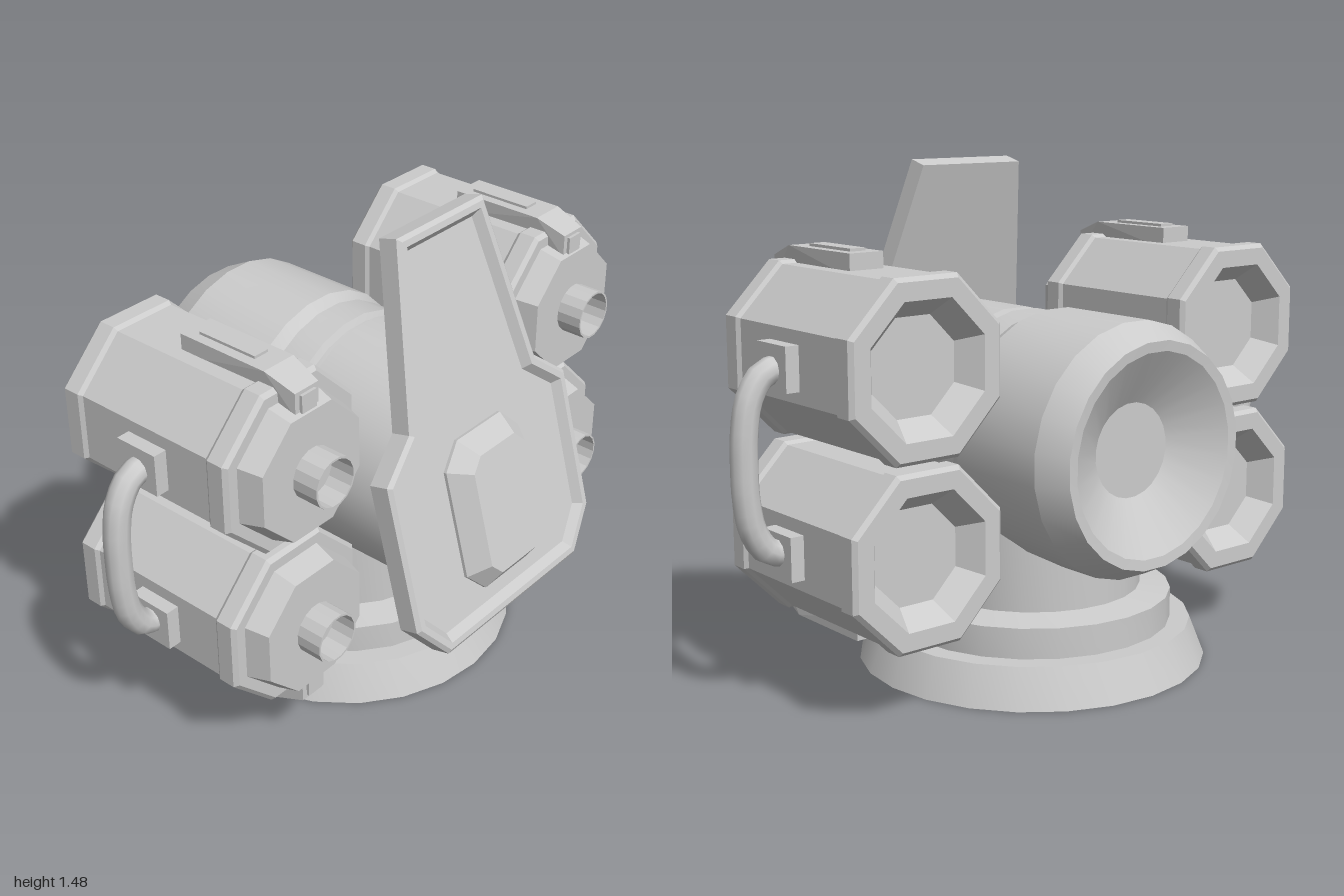
import * as THREE from 'three';
import { toCreasedNormals } from 'three/addons/utils/BufferGeometryUtils.js';

const grey = new THREE.MeshStandardMaterial({ color: 0xcccccc });
const shell = new THREE.MeshStandardMaterial({ color: 0xcccccc, side: THREE.DoubleSide });

function add(parent, name, geo, x = 0, y = 0, z = 0, mat = grey) {
  const mesh = new THREE.Mesh(geo, mat);
  mesh.name = name;
  mesh.position.set(x, y, z);
  parent.add(mesh);
  return mesh;
}

// Skins a list of counter-clockwise rings and closes both ends
function loft(rings) {
  const pos = [];
  const tri = (...pts) => pts.forEach((p) => pos.push(p.x, p.y, p.z));
  const n = rings[0].length;
  for (let i = 0; i < rings.length - 1; i++) {
    for (let j = 0; j < n; j++) {
      const k = (j + 1) % n;
      const a = rings[i][j], b = rings[i][k], c = rings[i + 1][k], d = rings[i + 1][j];
      tri(a, b, c);
      tri(a, c, d);
    }
  }
  const cap = (ring, flip) => {
    const flat = ring.map((p) => new THREE.Vector2(p.x, p.y));
    for (const [a, b, c] of THREE.ShapeUtils.triangulateShape(flat, [])) {
      if (flip) tri(ring[a], ring[c], ring[b]);
      else tri(ring[a], ring[b], ring[c]);
    }
  };
  cap(rings[0], true);
  cap(rings[rings.length - 1], false);
  const geo = new THREE.BufferGeometry();
  geo.setAttribute('position', new THREE.Float32BufferAttribute(pos, 3));
  return toCreasedNormals(geo, 0.35);
}

// Regular polygon ring; r is measured to the middle of a side
function ring(sides, r, z) {
  return Array.from({ length: sides }, (_, i) => {
    const a = ((i + 0.5) / sides) * Math.PI * 2;
    const R = r / Math.cos(Math.PI / sides);
    return new THREE.Vector3(R * Math.cos(a), R * Math.sin(a), z);
  });
}
const turned = (sides, profile) => loft(profile.map(([r, z]) => ring(sides, r, z)));

// Outline moved inward by d with mitred corners, placed at depth z
function inset(outline, d, z) {
  const n = outline.length;
  return outline.map((p, i) => {
    const a = outline[(i + n - 1) % n], b = outline[(i + 1) % n];
    const e1 = p.clone().sub(a).normalize(), e2 = b.clone().sub(p).normalize();
    const k = d / (1 + e1.dot(e2));
    return new THREE.Vector3(p.x - (e1.y + e2.y) * k, p.y + (e1.x + e2.x) * k, z);
  });
}

// Closed symmetric outline from its right half, bottom to top
function mirrored(half) {
  const right = half.map(([x, y]) => new THREE.Vector2(x, y));
  const left = right.map((p) => new THREE.Vector2(-p.x, p.y)).reverse();
  return [...right, ...left];
}

function createPod() {
  const pod = new THREE.Group();
  // Octagonal casing: recessed rear, two collars, tapered front cap
  add(pod, 'podCasing', turned(8, [
    [0.135, -0.285], [0.185, -0.355], [0.235, -0.355], [0.247, -0.343], [0.247, -0.292],
    [0.238, -0.28], [0.238, 0.185], [0.247, 0.197], [0.247, 0.248], [0.235, 0.26],
    [0.205, 0.26], [0.185, 0.33],
  ]));
  // Hollow muzzle
  add(pod, 'muzzle', turned(16, [[0.074, 0.32], [0.074, 0.41], [0.068, 0.41], [0.068, 0.335]]));
  // Latch bent over the front edge
  const side = new THREE.Shape([
    [-0.08, 0.22], [0.22, 0.18], [0.315, 0.18], [0.315, 0.25], [0.22, 0.285], [-0.08, 0.285],
  ].map(([z, y]) => new THREE.Vector2(z, y)));
  const latch = new THREE.ExtrudeGeometry(side, { depth: 0.11, bevelEnabled: false });
  latch.rotateY(-Math.PI / 2).translate(0.055, 0, 0);
  // Narrow the latch toward its front
  const p = latch.attributes.position;
  for (let i = 0; i < p.count; i++) if (p.getZ(i) > 0.3) p.setX(i, p.getX(i) * 0.8);
  latch.computeVertexNormals();
  add(pod, 'latch', latch);
  add(pod, 'latchRidge', new THREE.BoxGeometry(0.05, 0.016, 0.2), 0, 0.285, 0.06);
  add(pod, 'latchTab', new THREE.BoxGeometry(0.055, 0.055, 0.02), 0, 0.212, 0.314);
  return pod;
}

function createShield() {
  const shield = new THREE.Group();
  shield.name = 'shield';
  const outline = mirrored([[0.31, 0], [0.415, 0.125], [0.41, 0.57], [0.287, 0.67], [0.185, 1.19]]);
  // Slab with a raised rim around a sunken panel
  add(shield, 'shieldPlate', loft([
    inset(outline, 0, -0.07), inset(outline, 0, -0.01), inset(outline, 0.012, 0),
    inset(outline, 0.03, 0), inset(outline, 0.05, -0.025),
  ]));
  // Bevelled boss
  const boss = mirrored([[0.1, 0.1], [0.168, 0.17], [0.168, 0.5], [0.1, 0.57]]);
  add(shield, 'shieldBoss', loft([
    inset(boss, 0, -0.03), inset(boss, 0, -0.015), inset(boss, 0.05, 0.042),
  ]));
  shield.position.set(-0.015, 0.33, 0.6);
  shield.rotation.x = -0.264;
  return shield;
}

export function createModel() {
  const model = new THREE.Group();
  model.name = 'turret';

  // Stepped hollow base and neck
  const steps = [[0.525, 0], [0.48, 0.115], [0.42, 0.115], [0.42, 0.205], [0.328, 0.222], [0.328, 0.58]];
  const base = new THREE.LatheGeometry(steps.map(([r, y]) => new THREE.Vector2(r, y)), 24);
  add(model, 'base', toCreasedNormals(base, 0.35), 0, 0, -0.075, shell);

  // Barrel-shaped body with a dished rear and a slanted front end
  const bodyRings = [
    [0.135, -0.5], [0.29, -0.597], [0.32, -0.6], [0.365, -0.51], [0.365, -0.18], [0.348, -0.14],
    [0.348, -0.04], [0.328, -0.03], [0.328, -0.01], [0.348, 0], [0.348, 0.3],
  ].map(([r, z]) => ring(24, r, z));
  bodyRings[bodyRings.length - 1].forEach((v) => { v.z = 0.437 - 0.27 * v.y; });
  add(model, 'body', loft(bodyRings), 0, 0.695, 0);

  model.add(createShield());

  for (const s of [1, -1]) {
    const label = s > 0 ? 'left' : 'right';
    // Upper pod, and a lower one turned upside down
    for (const [y, turn, level] of [[0.97, 0, 'Upper'], [0.455, Math.PI, 'Lower']]) {
      const pod = createPod();
      pod.name = `${label}${level}Pod`;
      pod.position.set(s * 0.592, y, 0);
      pod.rotation.z = turn;
      model.add(pod);
      add(model, `${label}${level}HandlePad`, new THREE.BoxGeometry(0.05, 0.125, 0.14), s * 0.846, y - 0.002, -0.035);
    }
    // Bowed handle linking the pods
    const path = [
      [0.85, 0.963], [0.9, 0.95], [0.942, 0.89], [0.96, 0.8], [0.963, 0.71],
      [0.96, 0.62], [0.942, 0.53], [0.9, 0.47], [0.85, 0.457],
    ].map(([x, y]) => new THREE.Vector3(s * x, y, -0.035));
    add(model, `${label}Handle`, new THREE.TubeGeometry(new THREE.CatmullRomCurve3(path), 20, 0.038, 10));
    // Strut between pods and body
    add(model, `${label}Strut`, new THREE.BoxGeometry(0.3, 0.06, 0.04), s * 0.45, 0.71, -0.155);
  }
  return model;
}
